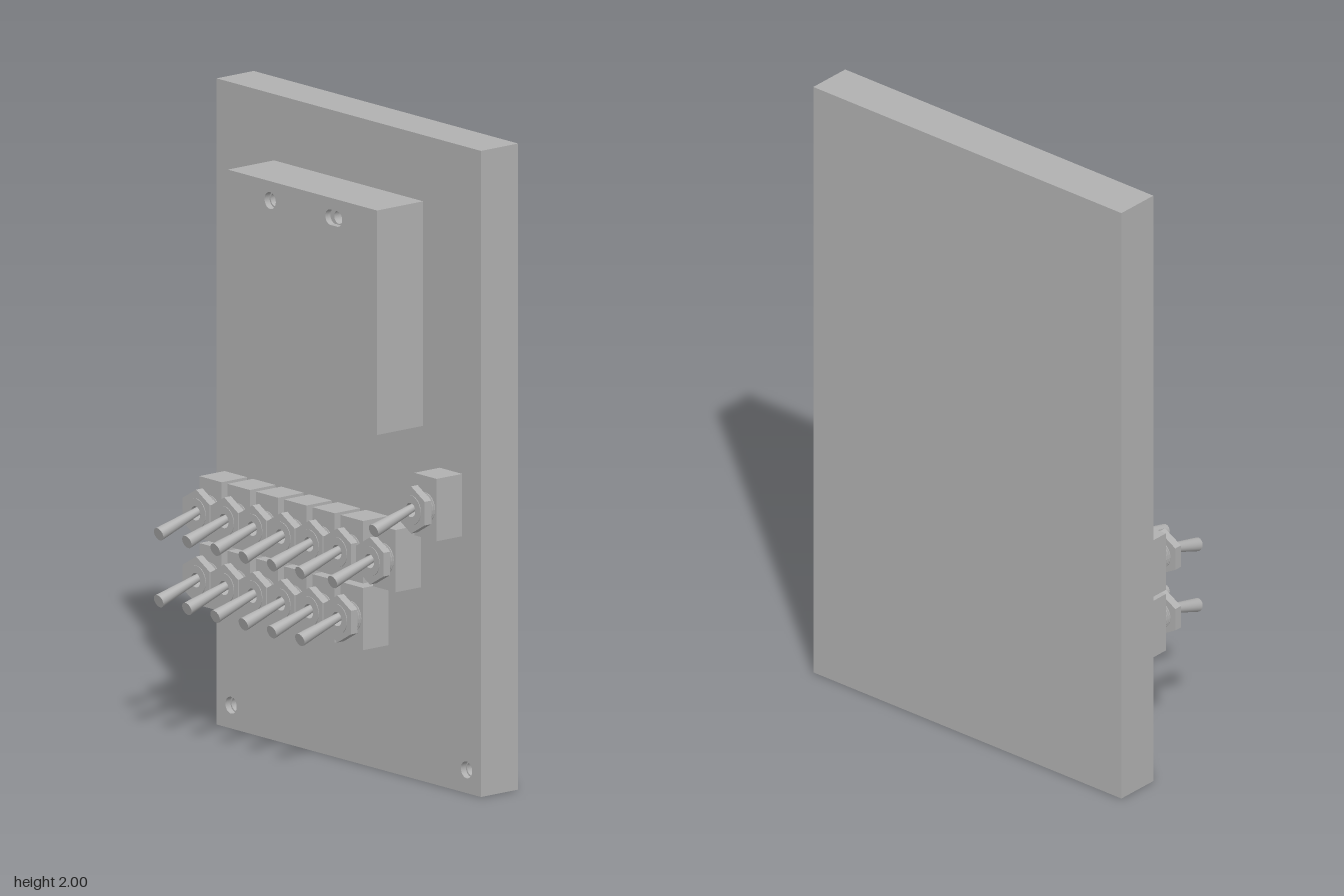
import * as THREE from 'three';

const grey = new THREE.MeshStandardMaterial({ color: 0xb0b0b0 });
grey.name = 'plain grey';

function add(parent, name, geometry) {
  const mesh = new THREE.Mesh(geometry, grey);
  mesh.name = name;
  parent.add(mesh);
  return mesh;
}

// Rounded hole: a circle, or a slot when halfLength > 0
function holePath(x, y, r, halfLength = 0) {
  const p = new THREE.Path();
  p.absarc(x + halfLength, y, r, -Math.PI / 2, Math.PI / 2, false);
  p.absarc(x - halfLength, y, r, Math.PI / 2, Math.PI * 1.5, false);
  p.closePath();
  return p;
}

// Slab with stepped blind holes, stacked from front layers to a solid back
function drilledSlab(name, x0, x1, y0, y1, zBack, zFront, steps) {
  const group = new THREE.Group();
  group.name = name;
  let z = zFront;
  const layers = [...steps, { depth: zFront - zBack - steps.reduce((s, l) => s + l.depth, 0), holes: [] }];
  layers.forEach(({ depth, holes }, i) => {
    const shape = new THREE.Shape([[x0, y0], [x1, y0], [x1, y1], [x0, y1]].map(([x, y]) => new THREE.Vector2(x, y)));
    shape.holes = holes.map((h) => holePath(...h));
    const geometry = new THREE.ExtrudeGeometry(shape, { depth, bevelEnabled: false, curveSegments: 12 });
    z -= depth;
    add(group, `${name}Layer${i + 1}`, geometry).position.z = z;
  });
  return group;
}

// Threaded bushing: zigzag outside, open bore in the front
function bushingGeometry() {
  const pts = [[0, 0.01], [0.04, 0.01]];
  for (let i = 0; i < 5; i++) {
    const z = 0.018 + i * 0.008;
    pts.push([0.040, z], [0.047, z + 0.002], [0.047, z + 0.004], [0.040, z + 0.006]);
  }
  pts.push([0.046, 0.06], [0.046, 0.077], [0.022, 0.077], [0.022, 0.045], [0, 0.045]);
  const g = new THREE.LatheGeometry(pts.map(([r, z]) => new THREE.Vector2(r, z)), 24);
  return g.rotateX(Math.PI / 2).toNonIndexed();
}

export function createModel() {
  const model = new THREE.Group();
  model.name = 'switchPanel';

  // Back panel with two blind holes in the lower corners
  const corners = (r) => [-0.546, 0.546].map((x) => [x, 0.072, r]);
  model.add(drilledSlab('backPanel', -0.613, 0.613, 0, 2, -0.23, -0.083, [
    { depth: 0.02, holes: corners(0.026) },
    { depth: 0.04, holes: corners(0.021) },
  ]));

  // Raised square housing with a round hole and a slot
  model.add(drilledSlab('housing', -0.347, 0.345, 1.1, 1.795, -0.083, 0.1, [
    { depth: 0.02, holes: [[-0.15, 1.735, 0.026], [0.145, 1.735, 0.024, 0.015]] },
    { depth: 0.04, holes: [[-0.15, 1.735, 0.021], [0.145, 1.735, 0.021]] },
  ]));

  // Shared toggle switch geometry
  const body = new THREE.BoxGeometry(0.104, 0.193, 0.101).translate(0, 0, -0.0325);
  const bushing = bushingGeometry();
  bushing.computeVertexNormals();
  const nutShape = new THREE.Shape();
  for (let i = 0; i < 6; i++) {
    const a = Math.PI / 6 + (i * Math.PI) / 3;
    nutShape[i ? 'lineTo' : 'moveTo'](0.073 * Math.cos(a), 0.073 * Math.sin(a));
  }
  nutShape.holes.push(holePath(0, 0, 0.044));
  const nut = new THREE.ExtrudeGeometry(nutShape, { depth: 0.026, bevelEnabled: false }).translate(0, 0, 0.049);

  // Lever widens towards its lowered tip
  const base = new THREE.Vector3(0, 0.014, 0.042);
  const tip = new THREE.Vector3(0, -0.042, 0.223);
  const direction = tip.clone().sub(base);
  const lever = new THREE.CylinderGeometry(0.021, 0.011, direction.length(), 20);
  lever.applyQuaternion(new THREE.Quaternion().setFromUnitVectors(new THREE.Vector3(0, 1, 0), direction.clone().normalize()));
  lever.translate(0, (base.y + tip.y) / 2, (base.z + tip.z) / 2);

  function addSwitch(x, y) {
    const unit = new THREE.Group();
    unit.name = 'toggleSwitch';
    add(unit, 'switchBody', body);
    add(unit, 'threadedBushing', bushing);
    add(unit, 'hexNut', nut);
    add(unit, 'lever', lever);
    unit.position.set(x, y, 0);
    model.add(unit);
  }

  // Two rows of six switches, then the two extra ones
  for (const y of [0.488, 0.695]) {
    for (let i = 0; i < 6; i++) addSwitch(-0.523 + i * 0.131, y);
  }
  addSwitch(0.283, 0.695);
  addSwitch(0.474, 0.888);

  return model;
}
